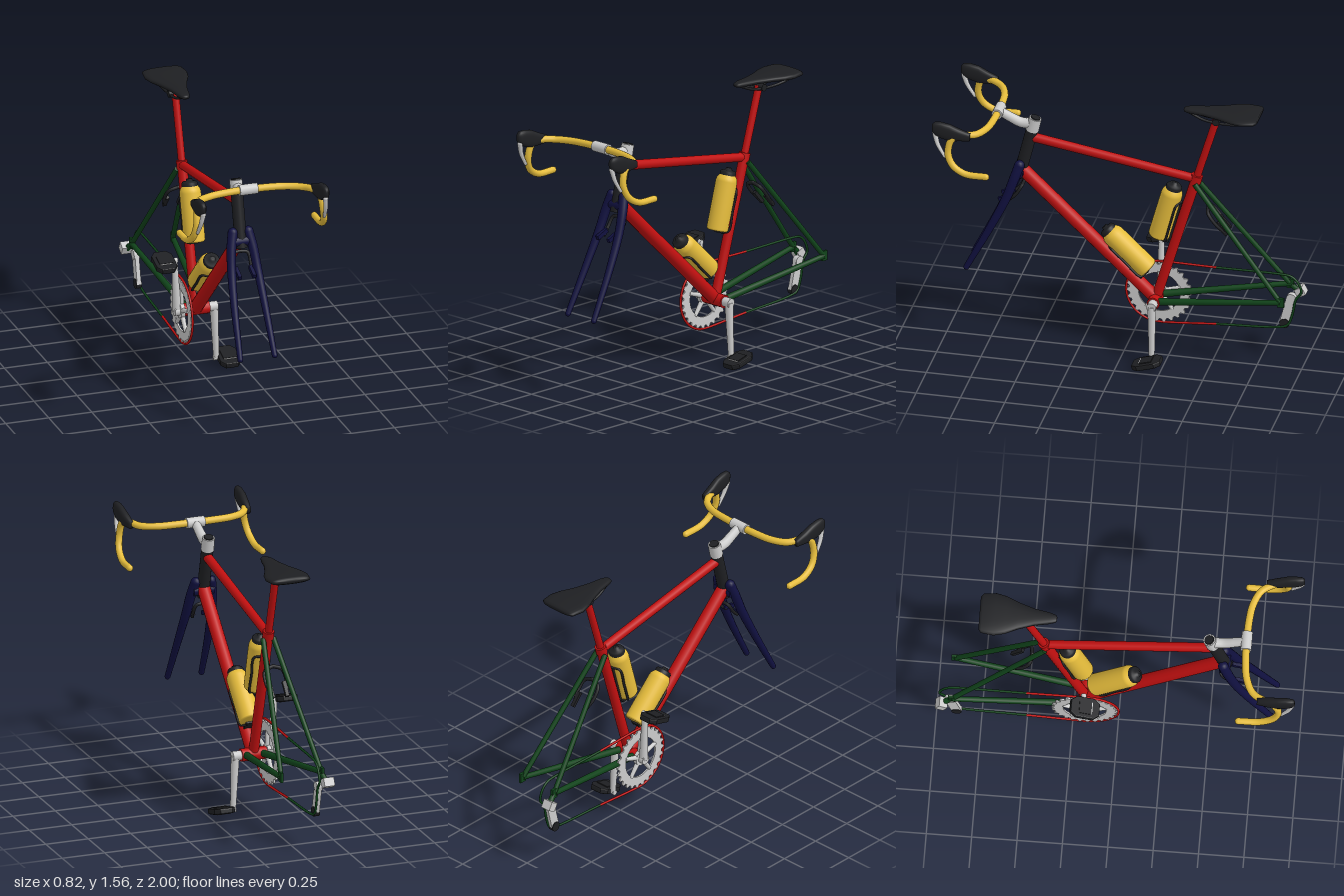
import * as THREE from 'three';

const mat = (color) => new THREE.MeshStandardMaterial({ color, side: THREE.DoubleSide });
const RED = mat(0xc01010), GREEN = mat(0x10431a), NAVY = mat(0x10103f), YELLOW = mat(0xe6bd3c),
  BLACK = mat(0x1e1f22), GREY = mat(0xcccccc);
const V = (p) => new THREE.Vector3(...p);

export function createModel() {
  const bike = new THREE.Group();
  const add = (name, geo, material, pos = [0, 0, 0], rot = [0, 0, 0], parent = bike) => {
    const m = new THREE.Mesh(geo, material);
    m.name = name;
    m.position.set(...pos);
    m.rotation.set(...rot);
    parent.add(m);
    return m;
  };
  // straight round bar between two points
  const rod = (name, a, b, r0, r1, material, parent = bike) => {
    const d = V(b).sub(V(a));
    const m = add(name, new THREE.CylinderGeometry(r1, r0, d.length(), 16), material, [0, 0, 0], [0, 0, 0], parent);
    m.position.copy(V(a)).addScaledVector(d, 0.5);
    m.quaternion.setFromUnitVectors(new THREE.Vector3(0, 1, 0), d.normalize());
    return m;
  };
  // curved bar with tapering radius and rounded ends
  const tube = (name, pts, r0, r1, material, parent = bike, n = 40, sides = 12) => {
    const curve = new THREE.CatmullRomCurve3(pts.map(V), false, 'centripetal');
    const geo = new THREE.TubeGeometry(curve, n, r0, sides);
    const p = geo.attributes.position, v = new THREE.Vector3();
    for (let i = 0; i < p.count; i++) {
      const t = Math.floor(i / (sides + 1)) / n, c = curve.getPointAt(t);
      v.fromBufferAttribute(p, i).sub(c).multiplyScalar(1 + (r1 / r0 - 1) * t).add(c);
      p.setXYZ(i, v.x, v.y, v.z);
    }
    add(name, geo, material, [0, 0, 0], [0, 0, 0], parent);
    [[pts[0], r0], [pts[pts.length - 1], r1]].forEach(([e, r]) =>
      add(name + 'End', new THREE.SphereGeometry(r, 12, 8), material, e, [0, 0, 0], parent));
  };
  // body from elliptical sections [z, x, y, rx, ry], z increasing
  const loft = (name, sections, material) => {
    const N = 24, pos = [], idx = [], L = sections.length;
    sections.forEach(([z, x, y, rx, ry]) => {
      for (let j = 0; j < N; j++) {
        const a = j / N * Math.PI * 2, c = Math.cos(a), s = Math.sin(a);
        pos.push(x + rx * Math.sign(c) * Math.abs(c) ** 0.8, y + ry * Math.sign(s) * Math.abs(s) ** 0.8, z);
      }
    });
    for (let i = 0; i < L - 1; i++) for (let j = 0; j < N; j++) {
      const a = i * N + j, b = i * N + (j + 1) % N;
      idx.push(a, b, a + N, b, b + N, a + N);
    }
    for (const k of [0, L - 1]) {
      const c = pos.length / 3;
      pos.push(sections[k][1], sections[k][2], sections[k][0]);
      for (let j = 0; j < N; j++) {
        const a = k * N + j, b = k * N + (j + 1) % N;
        idx.push(c, ...(k ? [a, b] : [b, a]));
      }
    }
    const g = new THREE.BufferGeometry();
    g.setAttribute('position', new THREE.Float32BufferAttribute(pos, 3));
    g.setIndex(idx);
    g.computeVertexNormals();
    return add(name, g, material);
  };

  // main frame
  const BB = [0, 0.355, -0.18];
  rod('bottomBracket', [-0.075, 0.355, -0.18], [0.075, 0.355, -0.18], 0.036, 0.036, RED);
  rod('downTube', BB, [0, 1.07, 0.575], 0.037, 0.037, RED);
  rod('seatTube', BB, [0, 1.135, -0.41], 0.028, 0.028, RED);
  rod('topTube', [0, 1.12, -0.41], [0, 1.272, 0.52], 0.025, 0.027, RED);
  rod('seatPost', [0, 1.1, -0.4], [0, 1.505, -0.522], 0.021, 0.021, RED);
  rod('seatCollar', [0, 1.1, -0.4], [0, 1.145, -0.413], 0.032, 0.032, RED);
  rod('headTube', [0, 1.02, 0.592], [0, 1.325, 0.517], 0.034, 0.034, BLACK);

  // fork, stays and brake arms, mirrored
  for (const s of [-1, 1]) {
    tube('forkBlade', [[s * 0.045, 1.11, 0.58], [s * 0.062, 1.03, 0.607], [s * 0.075, 0.91, 0.65], [s * 0.088, 0.73, 0.735], [s * 0.1, 0.475, 0.867]],
      0.029, 0.016, NAVY);
    rod('seatStay', [s * 0.03, 1.1, -0.405], [s * 0.118, 0.475, -0.905], 0.015, 0.014, GREEN);
    rod('chainStay', [s * 0.05, 0.36, -0.21], [s * 0.12, 0.47, -0.905], 0.02, 0.015, GREEN);
    add('dropout', new THREE.BoxGeometry(0.016, 0.055, 0.04), GREEN, [s * 0.12, 0.472, -0.91]);
    tube('rearBrakeArm', [[0, 0.96, -0.475], [s * 0.05, 0.94, -0.485], [s * 0.06, 0.88, -0.53], [s * 0.045, 0.83, -0.575]], 0.011, 0.009, BLACK, bike, 16, 8);
    add('rearBrakePad', new THREE.BoxGeometry(0.02, 0.02, 0.09), BLACK, [s * 0.042, 0.85, -0.56], [-0.85, 0, 0]);
    tube('frontBrakeArm', [[0, 0.99, 0.565], [s * 0.045, 0.98, 0.57], [s * 0.052, 0.93, 0.6], [s * 0.042, 0.89, 0.64]], 0.01, 0.009, BLACK, bike, 16, 8);
    add('frontBrakePad', new THREE.BoxGeometry(0.02, 0.025, 0.08), NAVY, [s * 0.042, 0.9, 0.66], [0.4, 0, 0]);
  }
  rod('forkCrown', [-0.06, 1.06, 0.588], [0.06, 1.06, 0.588], 0.03, 0.03, NAVY);

  // stem
  rod('stemClamp', [0, 1.315, 0.519], [0, 1.39, 0.5], 0.037, 0.035, GREY);
  rod('stemCap', [0, 1.39, 0.5], [0, 1.396, 0.498], 0.028, 0.026, BLACK);
  tube('stemArm', [[0, 1.355, 0.51], [0, 1.355, 0.58], [0, 1.38, 0.64], [0, 1.41, 0.7]], 0.03, 0.025, GREY);
  rod('barClamp', [-0.052, 1.413, 0.706], [0.052, 1.413, 0.706], 0.03, 0.03, GREY);

  // drop handlebar, hoods and levers
  for (const s of [-1, 1]) {
    tube('handlebar', [[0, 1.413, 0.706], [s * 0.12, 1.412, 0.71], [s * 0.22, 1.41, 0.725], [s * 0.3, 1.41, 0.765], [s * 0.34, 1.415, 0.83],
      [s * 0.358, 1.4, 0.885], [s * 0.368, 1.32, 0.908], [s * 0.38, 1.25, 0.882], [s * 0.388, 1.205, 0.81], [s * 0.391, 1.2, 0.69]],
    0.021, 0.019, YELLOW, bike, 90);
    loft('brakeHood', [[0.79, s * 0.345, 1.412, 0.018, 0.022], [0.85, s * 0.35, 1.422, 0.024, 0.036], [0.9, s * 0.355, 1.432, 0.024, 0.05],
      [0.95, s * 0.356, 1.444, 0.024, 0.048], [0.985, s * 0.357, 1.452, 0.02, 0.038], [0.999, s * 0.357, 1.455, 0.012, 0.022]], BLACK);
    tube('brakeLever', [[s * 0.355, 1.42, 0.985], [s * 0.362, 1.36, 0.968], [s * 0.368, 1.29, 0.928]], 0.015, 0.009, GREY, bike, 16, 10);
  }

  // saddle and rails
  loft('saddle', [[-0.765, 0, 1.548, 0.095, 0.012], [-0.75, 0, 1.547, 0.115, 0.02], [-0.68, 0, 1.545, 0.124, 0.023], [-0.62, 0, 1.545, 0.11, 0.022],
    [-0.55, 0, 1.545, 0.078, 0.02], [-0.46, 0, 1.546, 0.048, 0.018], [-0.38, 0, 1.546, 0.033, 0.017], [-0.345, 0, 1.545, 0.022, 0.012],
    [-0.338, 0, 1.545, 0.01, 0.006]], BLACK);
  for (const s of [-1, 1])
    tube('saddleRail', [[s * 0.012, 1.535, -0.37], [s * 0.025, 1.502, -0.46], [s * 0.035, 1.495, -0.6], [s * 0.05, 1.51, -0.68], [s * 0.06, 1.535, -0.74]],
      0.008, 0.008, BLACK, bike, 24, 8);
  rod('railClamp', [-0.04, 1.5, -0.525], [0.04, 1.5, -0.525], 0.02, 0.02, BLACK);

  // bottles with cages; side is where the tube lies in local z
  const bottle = (bottom, tilt, side, r, len) => {
    const g = new THREE.Group();
    g.name = 'bottle';
    g.position.set(...bottom);
    g.rotation.x = tilt;
    bike.add(g);
    const lathe = (pts) => new THREE.LatheGeometry(pts.map(([x, y]) => new THREE.Vector2(x * r, y * len)), 28);
    add('bottleBody', lathe([[0, 0], [0.9, 0], [1, 0.03], [1, 0.8], [0.94, 0.85], [0.75, 0.9], [0.68, 0.91]]), YELLOW, [0, 0, 0], [0, 0, 0], g);
    add('bottleCap', lathe([[0.74, 0.88], [0.74, 0.95], [0.64, 0.975], [0.3, 0.985], [0.26, 1.02], [0, 1.02]]), BLACK, [0, 0, 0], [0, 0, 0], g);
    for (const s of [-1, 1])
      tube('cageWire', [[s * r * 0.3, -0.008, side * r * 0.4], [s * r * 0.75, 0.005, side * r * 0.72], [s * r * 0.78, len * 0.35, side * r * 0.75],
        [s * r * 0.72, len * 0.68, side * r * 0.78], [0, len * 0.72, side * r * 1.07]], 0.007, 0.007, BLACK, g, 30, 8);
    add('cageBack', new THREE.BoxGeometry(0.025, len * 0.7, 0.012), BLACK, [0, len * 0.36, side * r * 1.08], [0, 0, 0], g);
    add('cageFoot', new THREE.BoxGeometry(r * 0.8, 0.01, r), BLACK, [0, -0.006, side * r * 0.55], [0, 0, 0], g);
  };
  bottle([0, 0.745, -0.195], -0.27, -1, 0.06, 0.345);
  bottle([0, 0.53, -0.135], 0.81, 1, 0.062, 0.335);

  // chainring: toothed rim, spokes, hub
  const ring = new THREE.Shape(), teeth = 26;
  for (let i = 0; i < teeth * 4; i++) {
    const a = i / (teeth * 4) * Math.PI * 2, r = i % 4 < 2 ? 0.184 : 0.168;
    ring[i ? 'lineTo' : 'moveTo'](r * Math.cos(a), r * Math.sin(a));
  }
  ring.holes.push(new THREE.Path().absarc(0, 0, 0.118, 0, Math.PI * 2, true));
  add('chainring', new THREE.ExtrudeGeometry(ring, { depth: 0.01, bevelEnabled: false, curveSegments: 32 }), GREY, [-0.086, 0.355, -0.18], [0, Math.PI / 2, 0]);
  for (let i = 0; i < 5; i++) {
    const a = i / 5 * Math.PI * 2 + Math.PI / 2;
    rod('chainringSpoke', [-0.082, 0.355, -0.18], [-0.082, 0.355 + 0.125 * Math.sin(a), -0.18 + 0.125 * Math.cos(a)], 0.016, 0.011, GREY);
  }
  rod('chainringHub', [-0.095, 0.355, -0.18], [-0.072, 0.355, -0.18], 0.045, 0.045, GREY);

  // chain: front loop and rear run
  const front = [[-0.081, 0.54, -0.5]];
  for (let i = 0; i <= 12; i++) {
    const a = Math.PI / 2 - i / 12 * Math.PI;
    front.push([-0.081, 0.355 + 0.187 * Math.sin(a), -0.18 + 0.187 * Math.cos(a)]);
  }
  front.push([-0.081, 0.19, -0.5]);
  tube('chainFront', front, 0.007, 0.007, RED, bike, 80, 8);
  tube('chainRear', [[-0.081, 0.54, -0.5], [-0.08, 0.541, -0.88], [-0.08, 0.535, -0.92], [-0.08, 0.505, -0.957], [-0.08, 0.44, -0.98],
    [-0.08, 0.395, -0.95], [-0.08, 0.3, -0.93], [-0.08, 0.235, -0.905], [-0.08, 0.217, -0.87], [-0.081, 0.19, -0.5]], 0.007, 0.007, GREEN, bike, 80, 8);

  // rear derailleur
  rod('derailleurArm', [-0.118, 0.465, -0.915], [-0.13, 0.42, -0.96], 0.014, 0.018, GREEN);
  add('derailleurBody', new THREE.BoxGeometry(0.06, 0.05, 0.05), GREY, [-0.135, 0.425, -0.965], [0.5, 0, 0]);
  add('derailleurCage', new THREE.BoxGeometry(0.024, 0.165, 0.055), GREY, [-0.094, 0.315, -0.902], [-0.24, 0, 0]);
  for (const [y, z] of [[0.395, -0.922], [0.238, -0.884]])
    rod('derailleurPulley', [-0.11, y, z], [-0.078, y, z], 0.028, 0.028, y > 0.3 ? GREY : BLACK);

  // cranks and pedals, left down and right up
  const pad = new THREE.Shape([[-0.035, -0.083], [0.035, -0.083], [0.06, -0.05], [0.06, 0.05], [0.035, 0.083], [-0.035, 0.083], [-0.06, 0.05], [-0.06, -0.05]]
    .map(([x, y]) => new THREE.Vector2(x, y)));
  const padGeo = new THREE.ExtrudeGeometry(pad, { depth: 0.016, bevelSize: 0.006, bevelThickness: 0.008, bevelOffset: -0.006, bevelSegments: 2 })
    .translate(0, 0, -0.008).rotateX(Math.PI / 2);
  for (const s of [-1, 1]) {
    const y = s > 0 ? 0.045 : 0.655;
    rod('crankArm', [s * 0.107, 0.355, -0.18], [s * 0.121, y, -0.183], 0.024, 0.016, GREY);
    rod('crankBoss', [s * 0.07, 0.355, -0.18], [s * 0.125, 0.355, -0.18], 0.027, 0.027, GREY);
    rod('pedalAxle', [s * 0.105, y, -0.183], [s * 0.2, y, -0.178], 0.015, 0.012, GREY);
    const pedal = new THREE.Group();
    pedal.name = 'pedal';
    pedal.position.set(s * 0.185, y, -0.172);
    pedal.rotation.x = 0.28;
    bike.add(pedal);
    add('pedalBody', padGeo, BLACK, [0, 0, 0], [0, 0, 0], pedal);
    add('pedalCore', new THREE.BoxGeometry(0.075, 0.042, 0.07), BLACK, [0, 0, 0], [0, 0, 0], pedal);
    add('pedalPlate', new THREE.BoxGeometry(0.07, 0.034, 0.006), GREY, [0, 0.002, 0.037], [0, 0, 0], pedal);
  }
  return bike;
}
